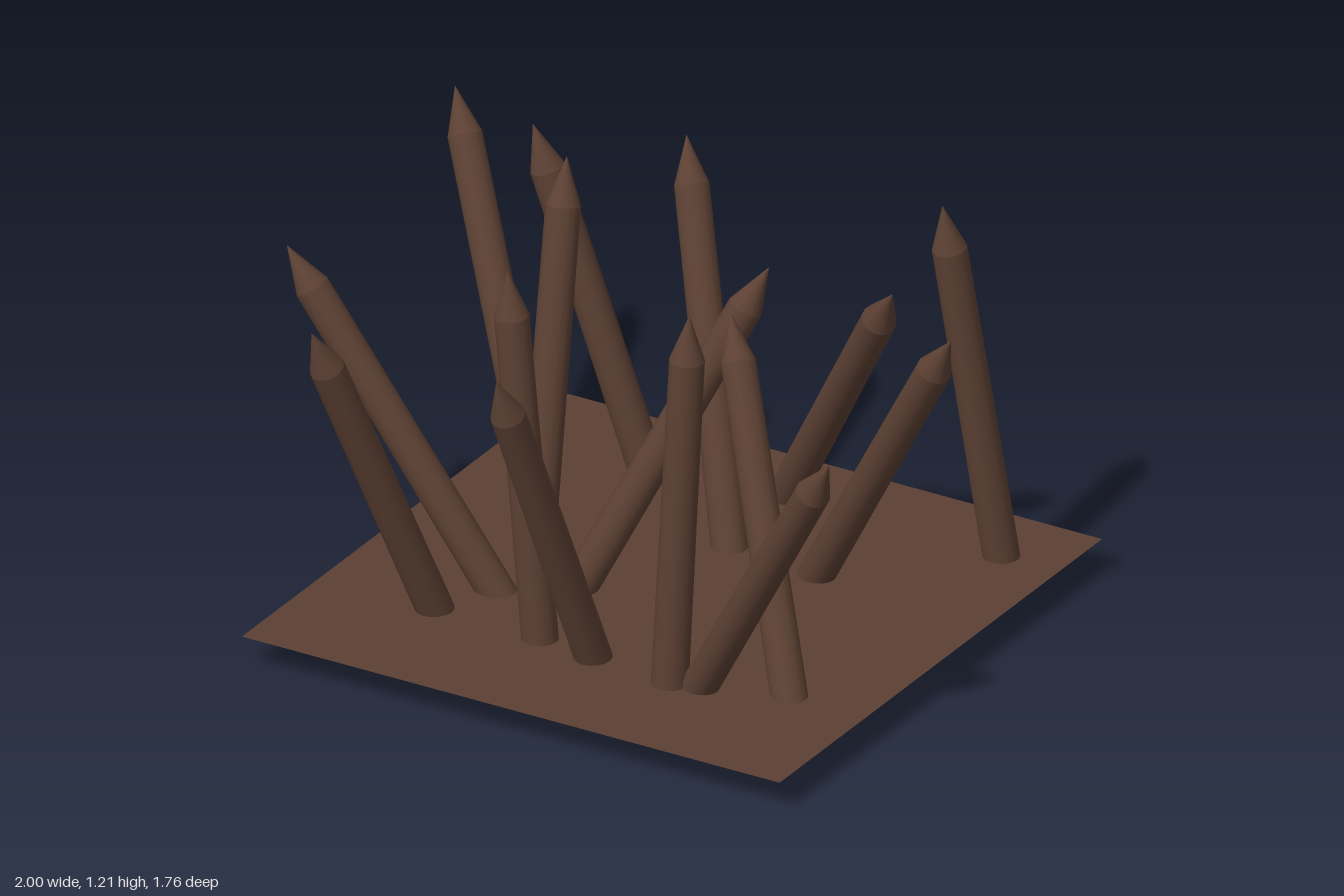
import * as THREE from 'three';

const RADIUS = 0.052;
const TIP_LENGTH = 0.135;

// Each stake: base x, y, z, then point x, y, z
const STAKES = [
  [-0.53, 0.05, -0.38, -1.0, 1.04, -0.72],
  [-0.28, 0.06, -0.57, -0.61, 1.13, -0.48],
  [0.12, 0.05, -0.31, -0.25, 1.10, -0.69],
  [0.05, 0.05, -0.68, 0.60, 0.98, -0.36],
  [0.77, 0.06, -0.66, 0.655, 1.19, -0.53],
  [0.37, 0.06, -0.31, 0.94, 1.04, -0.10],
  [-0.31, 0.07, 0.01, -0.37, 1.19, -0.26],
  [-0.14, 0.05, 0.12, 0.30, 1.05, -0.21],
  [-0.28, 0.06, 0.22, -0.92, 1.02, 0.30],
  [0.73, 0.03, 0.38, 0.31, 1.01, 0.01],
  [-0.38, 0.04, 0.38, -0.53, 1.08, 0.82],
  [-0.05, 0.06, 0.41, -0.155, 1.19, 0.41],
  [0.13, 0.07, 0.42, 0.09, 1.12, 0.88],
  [0.385, 0.06, 0.46, 0.425, 1.21, 0.42],
  [0.43, 0.04, 0.42, 1.0, 1.0, 0.64],
];

export function createModel() {
  const model = new THREE.Group();
  model.name = 'stakeField';
  const wood = new THREE.MeshStandardMaterial({ color: 0x5c4033, side: THREE.DoubleSide });

  const add = (parent, name, geometry, x, y, z) => {
    const mesh = new THREE.Mesh(geometry, wood);
    mesh.name = name;
    mesh.position.set(x, y, z);
    parent.add(mesh);
  };

  // Thin ground sheet, with the stake ends poking out below
  const sheet = new THREE.PlaneGeometry(1.7, 1.7).rotateX(-Math.PI / 2);
  add(model, 'groundSheet', sheet, 0.10, 0.10, -0.03);

  // Leaning stakes: open round shaft and pointed tip along the base-to-point line
  const up = new THREE.Vector3(0, 1, 0);
  for (const [bx, by, bz, tx, ty, tz] of STAKES) {
    const base = new THREE.Vector3(bx, by, bz);
    const axis = new THREE.Vector3(tx, ty, tz).sub(base);
    const length = axis.length();
    const shaft = length - TIP_LENGTH;

    const stake = new THREE.Group();
    stake.name = 'stake';
    stake.position.copy(base);
    stake.quaternion.setFromUnitVectors(up, axis.normalize());
    add(stake, 'shaft', new THREE.CylinderGeometry(RADIUS - 0.003, RADIUS, shaft, 16, 1, true), 0, shaft / 2, 0);
    add(stake, 'tip', new THREE.ConeGeometry(RADIUS - 0.003, TIP_LENGTH, 16, 1, true), 0, shaft + TIP_LENGTH / 2, 0);
    model.add(stake);
  }
  return model;
}
